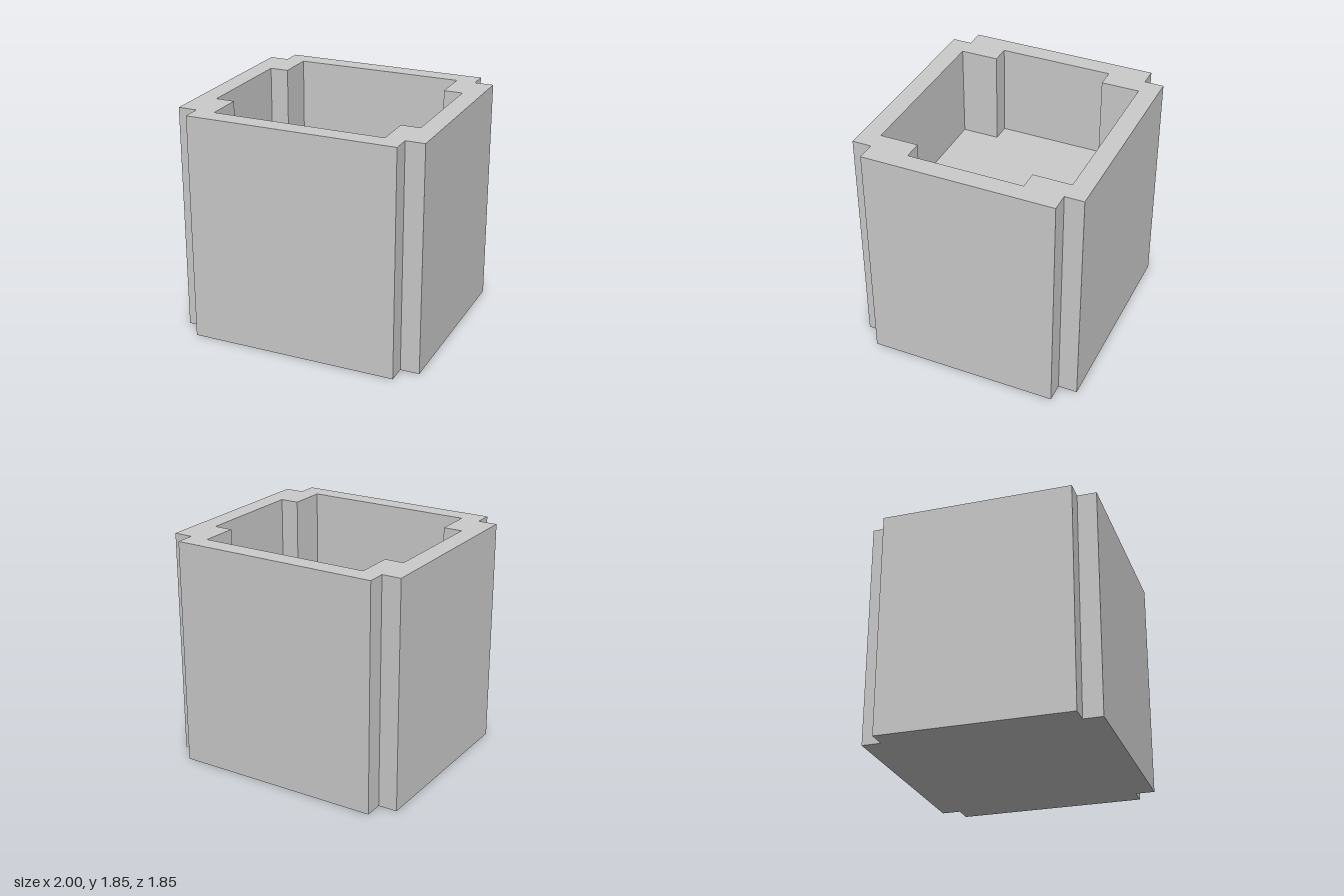
import * as THREE from 'three';

const U = 2 / 13; // grid step: the box is 13 x 12 x 12 steps

// Rectangle outline (half sizes hx, hz) with a notch (nx, nz) cut from each corner, counter-clockwise
function notchedOutline(hx, hz, nx, nz) {
  const corner = [[hx, hz - nz], [hx - nx, hz - nz], [hx - nx, hz]];
  const points = [];
  for (const [sx, sz] of [[1, 1], [-1, 1], [-1, -1], [1, -1]]) {
    const part = corner.map(([x, z]) => new THREE.Vector2(x * sx * U, z * sz * U));
    points.push(...(sx * sz > 0 ? part : part.reverse()));
  }
  return points;
}

function prism(name, shape, bottom, top, material) {
  const geometry = new THREE.ExtrudeGeometry(shape, { depth: (top - bottom) * U, bevelEnabled: false });
  geometry.rotateX(-Math.PI / 2);
  geometry.translate(0, bottom * U, 0);
  const mesh = new THREE.Mesh(geometry, material);
  mesh.name = name;
  return mesh;
}

export function createModel() {
  const group = new THREE.Group();
  group.name = 'notchedPlanter';
  const material = new THREE.MeshStandardMaterial({ color: 0xcccccc, flatShading: true });
  const floorLevel = 7, height = 12;

  // Solid lower block whose top is the floor of the recess
  const outer = notchedOutline(6.5, 6, 1, 1);
  group.add(prism('base', new THREE.Shape(outer), 0, floorLevel, material));

  // Walls around the recess
  const wall = new THREE.Shape(outer);
  wall.holes.push(new THREE.Path(notchedOutline(5.5, 5, 1, 2)));
  group.add(prism('walls', wall, floorLevel, height, material));

  return group;
}
